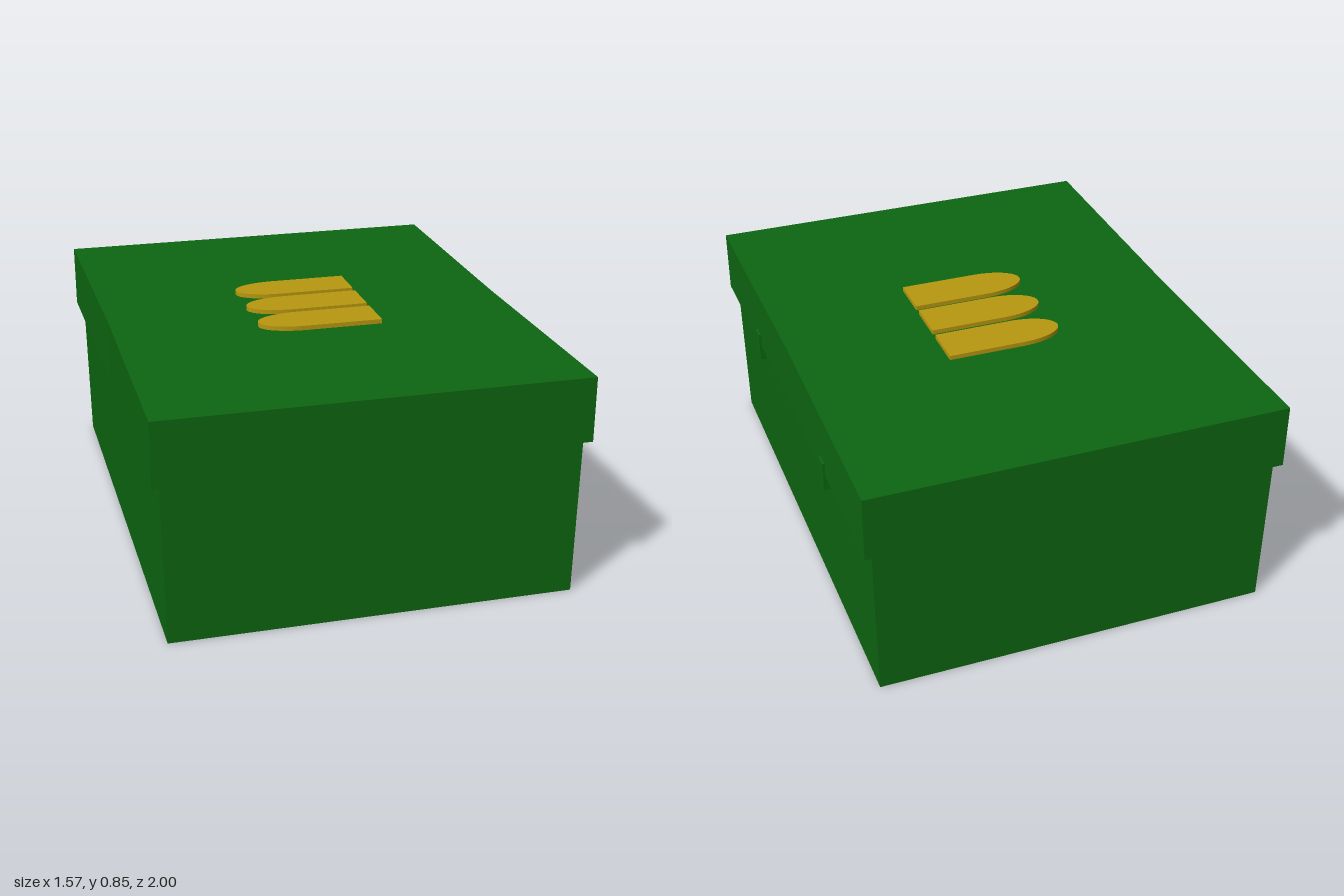
import * as THREE from 'three';

const green = new THREE.MeshStandardMaterial({ color: 0x0d6611, flatShading: true });
const gold = new THREE.MeshStandardMaterial({ color: 0xb8980f, flatShading: true });

function addMesh(parent, name, geometry, material, x, y, z) {
  const mesh = new THREE.Mesh(geometry, material);
  mesh.name = name;
  mesh.position.set(x, y, z);
  parent.add(mesh);
  return mesh;
}

// Box whose vertices are moved by a rule
function shapedBox(w, h, d, zSegments, rule) {
  const geometry = new THREE.BoxGeometry(w, h, d, 1, 1, zSegments);
  const pos = geometry.attributes.position;
  const v = new THREE.Vector3();
  for (let i = 0; i < pos.count; i++) {
    v.fromBufferAttribute(pos, i);
    rule(v);
    pos.setXYZ(i, v.x, v.y, v.z);
  }
  geometry.computeVertexNormals();
  return geometry;
}

// Flat plate with a straight base and a rounded nose pointing to -x
function bulletPlate(halfWidth, base, shoulder, noseLength, thickness) {
  const shape = new THREE.Shape();
  shape.moveTo(base, -halfWidth);
  shape.lineTo(base, halfWidth);
  shape.lineTo(shoulder, halfWidth);
  shape.absellipse(shoulder, 0, noseLength, halfWidth, Math.PI / 2, Math.PI * 1.5, false);
  shape.closePath();
  const geometry = new THREE.ExtrudeGeometry(shape, {
    depth: thickness, bevelEnabled: false, curveSegments: 12,
  });
  return geometry.rotateX(-Math.PI / 2);
}

export function createModel() {
  const group = new THREE.Group();
  group.name = 'ammoBox';

  // Body, slightly narrower at the base
  const body = shapedBox(1.505, 0.61, 1.964, 1, (v) => {
    if (v.y < 0) v.x *= 0.988;
  });
  addMesh(group, 'body', body, green, -0.003, 0.305, 0);

  // Overhanging lid, its long sides pinched a little at the middle
  const lid = shapedBox(1.562, 0.243, 2, 2, (v) => {
    if (Math.abs(v.z) < 0.01) v.x *= 0.988;
  });
  addMesh(group, 'lid', lid, green, -0.003, 0.7145, 0);

  // Two clasps on the left side
  for (const z of [0.478, -0.476]) {
    addMesh(group, 'clasp', new THREE.BoxGeometry(0.04, 0.115, 0.05), green, 0.761, 0.592, z);
  }

  // Three bullet-shaped plates on the lid
  const plate = bulletPlate(0.0825, 0.225, -0.07, 0.166, 0.019);
  for (const z of [-0.2, -0.002, 0.195]) {
    addMesh(group, 'bulletPlate', plate, gold, 0, 0.834, z);
  }

  return group;
}
